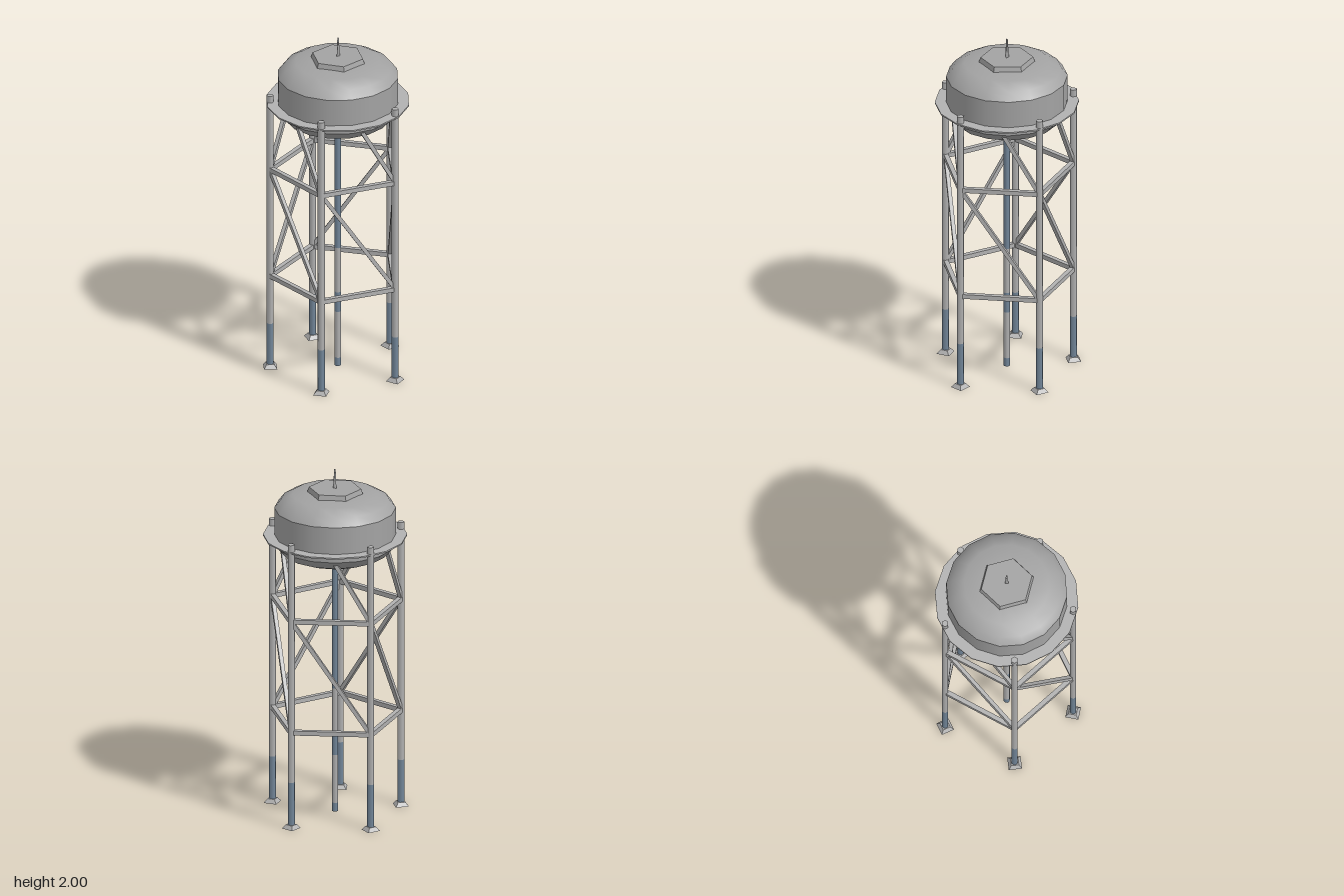
import * as THREE from 'three';

const LEGS = 5, LEG_R = 0.373, LEG_TOP = 1.66, BLUE_TOP = 0.27;
const RING_Y = [0.56, 1.21];

export function createModel() {
  const tankGrey = new THREE.MeshStandardMaterial({ color: 0xa3a3a3 });
  tankGrey.name = 'tank grey';
  const steel = new THREE.MeshStandardMaterial({ color: 0xb2b2b2 });
  steel.name = 'steel grey';
  const blue = new THREE.MeshStandardMaterial({ color: 0x73879a });
  blue.name = 'faded blue';

  const model = new THREE.Group();
  model.name = 'waterTower';
  const tower = new THREE.Group();
  tower.name = 'tower';
  tower.position.x = -0.008;
  model.add(tower);

  const add = (name, geometry, material, x = 0, y = 0, z = 0) => {
    const mesh = new THREE.Mesh(geometry, material);
    mesh.name = name;
    mesh.position.set(x, y, z);
    tower.add(mesh);
    return mesh;
  };
  // Upright round part between two heights
  const column = (name, material, y0, y1, r0, r1, sides, x = 0, z = 0) =>
    add(name, new THREE.CylinderGeometry(r1, r0, y1 - y0, sides), material, x, (y0 + y1) / 2, z);
  const faceted = (geometry) => {
    const g = geometry.toNonIndexed();
    g.computeVertexNormals();
    return g;
  };
  const lathe = (name, points) => add(name,
    new THREE.LatheGeometry(points.map(([r, y]) => new THREE.Vector2(r, y)), 16), tankGrey);
  // Square bar between two points
  const bar = (name, a, b, size) => {
    const mesh = add(name, new THREE.BoxGeometry(size, size, a.distanceTo(b)), steel);
    mesh.position.copy(a).lerp(b, 0.5);
    mesh.quaternion.setFromRotationMatrix(
      new THREE.Matrix4().lookAt(a, b, new THREE.Vector3(0, 1, 0)));
  };
  const legPoint = (i, y) => {
    const a = (i / LEGS) * Math.PI * 2;
    return new THREE.Vector3(Math.cos(a) * LEG_R, y, Math.sin(a) * LEG_R);
  };

  // Tank: underside, wall and dome, with crisp edges between them
  lathe('tankUnderside', [[0, 1.475], [0.12, 1.48], [0.22, 1.492], [0.29, 1.52], [0.335, 1.57]]);
  lathe('tankWall', [[0.335, 1.57], [0.335, 1.775]]);
  lathe('tankDome', [[0.335, 1.775], [0.3, 1.82], [0.235, 1.856], [0.12, 1.864], [0, 1.866]]);

  // Roof hatch and spike
  const hatch = add('roofHatch', faceted(new THREE.CylinderGeometry(0.145, 0.157, 0.035, 6)),
    tankGrey, 0, 1.872, 0);
  hatch.rotation.y = THREE.MathUtils.degToRad(-15 + 60);
  // a corner lies 15 degrees behind the +x axis
  hatch.rotation.y = THREE.MathUtils.degToRad(105);
  column('spike', steel, 1.885, 2, 0.012, 0.005, 3);

  // Walkway ring around the tank
  lathe('walkway', [[0.33, 1.612], [0.397, 1.612], [0.397, 1.62], [0.33, 1.62]]).geometry =
    faceted(new THREE.LatheGeometry([[0.33, 1.612], [0.397, 1.612], [0.397, 1.62], [0.33, 1.62]]
      .map(([r, y]) => new THREE.Vector2(r, y)), 16));
  tower.children[tower.children.length - 1].material = steel;

  // Centre pipe in painted bands, with a collar under the tank
  const bands = [0, 0.05, 0.33, 0.45, 0.72, 1.48];
  for (let i = 0; i < bands.length - 1; i++) {
    column('centrePipe', i % 2 ? steel : blue, bands[i], bands[i + 1], 0.018, 0.018, 8);
  }
  column('pipeCollar', tankGrey, 1.455, 1.485, 0.02, 0.036, 8);

  // Legs, feet and bracing
  for (let i = 0; i < LEGS; i++) {
    const { x, z } = legPoint(i, 0);
    column('legLower', blue, 0.01, BLUE_TOP, 0.0195, 0.0195, 6, x, z);
    column('legUpper', steel, BLUE_TOP, LEG_TOP, 0.0195, 0.0195, 6, x, z);

    const foot = new THREE.CylinderGeometry(0.03, 0.052, 0.022, 4);
    foot.rotateY(Math.PI / 4);
    add('foot', faceted(foot), steel, x, 0.011, z).rotation.y = -(i / LEGS) * Math.PI * 2;

    for (const y of RING_Y) bar('ringBrace', legPoint(i, y), legPoint(i + 1, y), 0.026);
    bar('diagonalBrace', legPoint(i, RING_Y[0]), legPoint(i + 1, RING_Y[1]), 0.022);
    const end = legPoint(i, 1.555).lerp(legPoint(i + 1, 1.555), 0.45);
    bar('tankBrace', legPoint(i, RING_Y[1]), end, 0.022);
  }
  return model;
}
